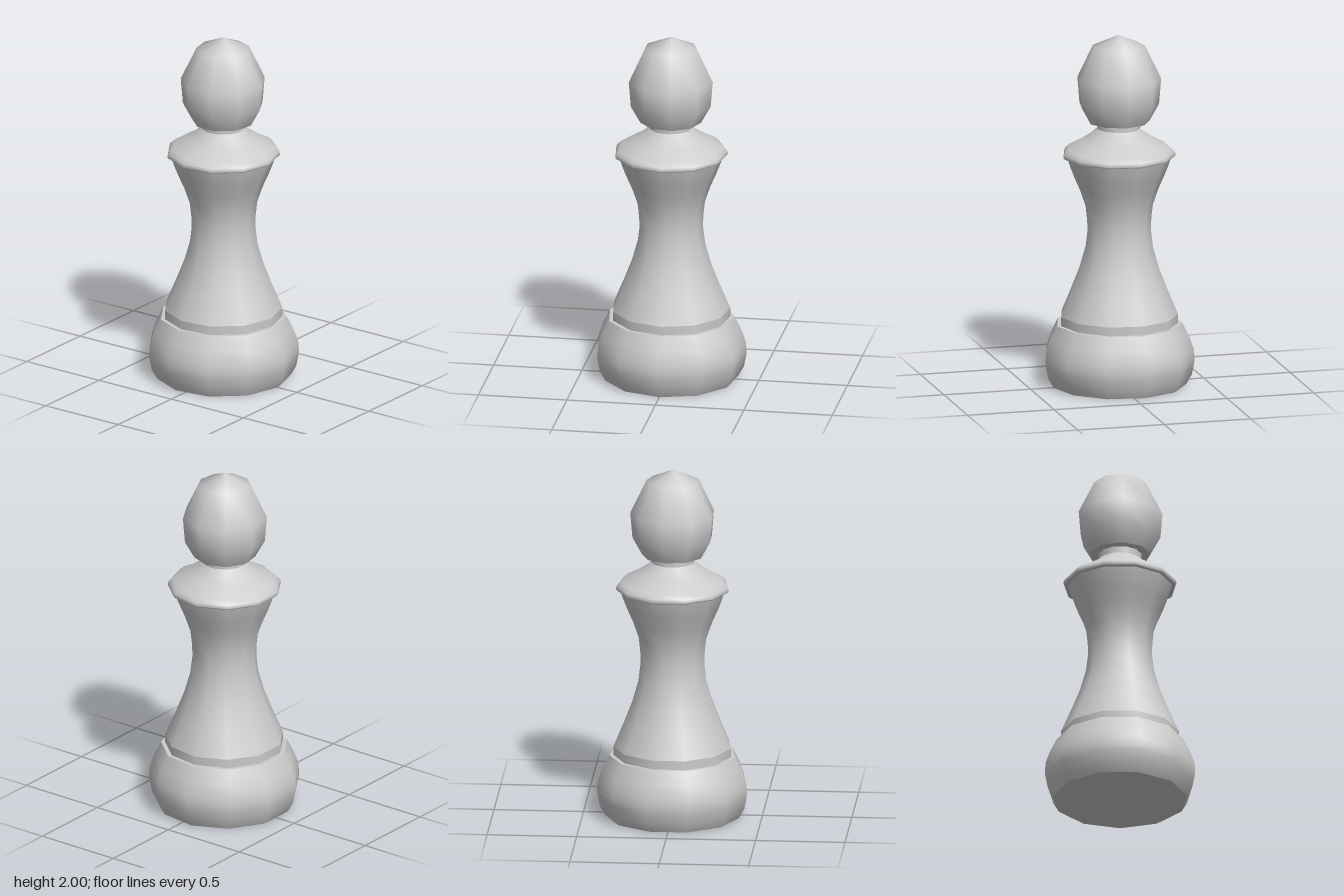
import * as THREE from 'three';

const material = new THREE.MeshStandardMaterial({ color: 0xcccccc });

// Each section is a bottom-to-top list of [radius, height]; separate sections meet in a sharp edge.
function turned(name, sides, phiStart, sections) {
  const part = new THREE.Group();
  part.name = name;
  sections.forEach((profile, i) => {
    const points = profile.map(([r, y]) => new THREE.Vector2(r, y));
    const mesh = new THREE.Mesh(new THREE.LatheGeometry(points, sides, phiStart), material);
    mesh.name = `${name}Section${i + 1}`;
    part.add(mesh);
  });
  return part;
}

export function createModel() {
  const pawn = new THREE.Group();
  pawn.name = 'chessPawn';
  const BODY_SIDES = 11, HEAD_SIDES = 9;
  const corner = Math.PI / 2; // one body corner points to +x

  // Bulging foot with flat underside and flat top ledge
  const base = turned('base', BODY_SIDES, corner, [
    [[0, 0], [0.377, 0]],
    [[0.377, 0], [0.408, 0.055], [0.421, 0.12], [0.4226, 0.15], [0.419, 0.2], [0.395, 0.27], [0.355, 0.35]],
    [[0.355, 0.35], [0.3, 0.35]],
  ]);

  // Waisted stem standing on a short straight band
  const stem = turned('stem', BODY_SIDES, corner, [
    [[0.332, 0.35], [0.332, 0.4]],
    [[0.332, 0.4], [0.273, 0.54], [0.226, 0.66], [0.192, 0.78], [0.18, 0.88],
      [0.182, 0.95], [0.191, 1.03], [0.222, 1.12], [0.257, 1.2], [0.28, 1.26], [0.294, 1.305]],
  ]);

  // Flared collar with a thin rounded lip
  const collar = turned('collar', BODY_SIDES, corner, [
    [[0.27, 1.303], [0.311, 1.303]],
    [[0.311, 1.303], [0.319, 1.312], [0.314, 1.33], [0.291, 1.353], [0.216, 1.393], [0.16, 1.43], [0.121, 1.465]],
  ]);

  // Straight neck under the head
  const neck = turned('neck', BODY_SIDES, corner, [[[0.121, 1.462], [0.121, 1.52]]]);

  // Egg-shaped head with a flat underside, one corner pointing back
  const head = turned('head', HEAD_SIDES, Math.PI, [
    [[0, 1.503], [0.172, 1.503]],
    [[0.172, 1.503], [0.226, 1.6], [0.238, 1.745], [0.148, 1.935], [0, 2]],
  ]);

  pawn.add(base, stem, collar, neck, head);
  // Odd-sided base: shift the axis so the whole piece is centred
  for (const part of pawn.children) part.position.x = -0.0095;
  return pawn;
}
